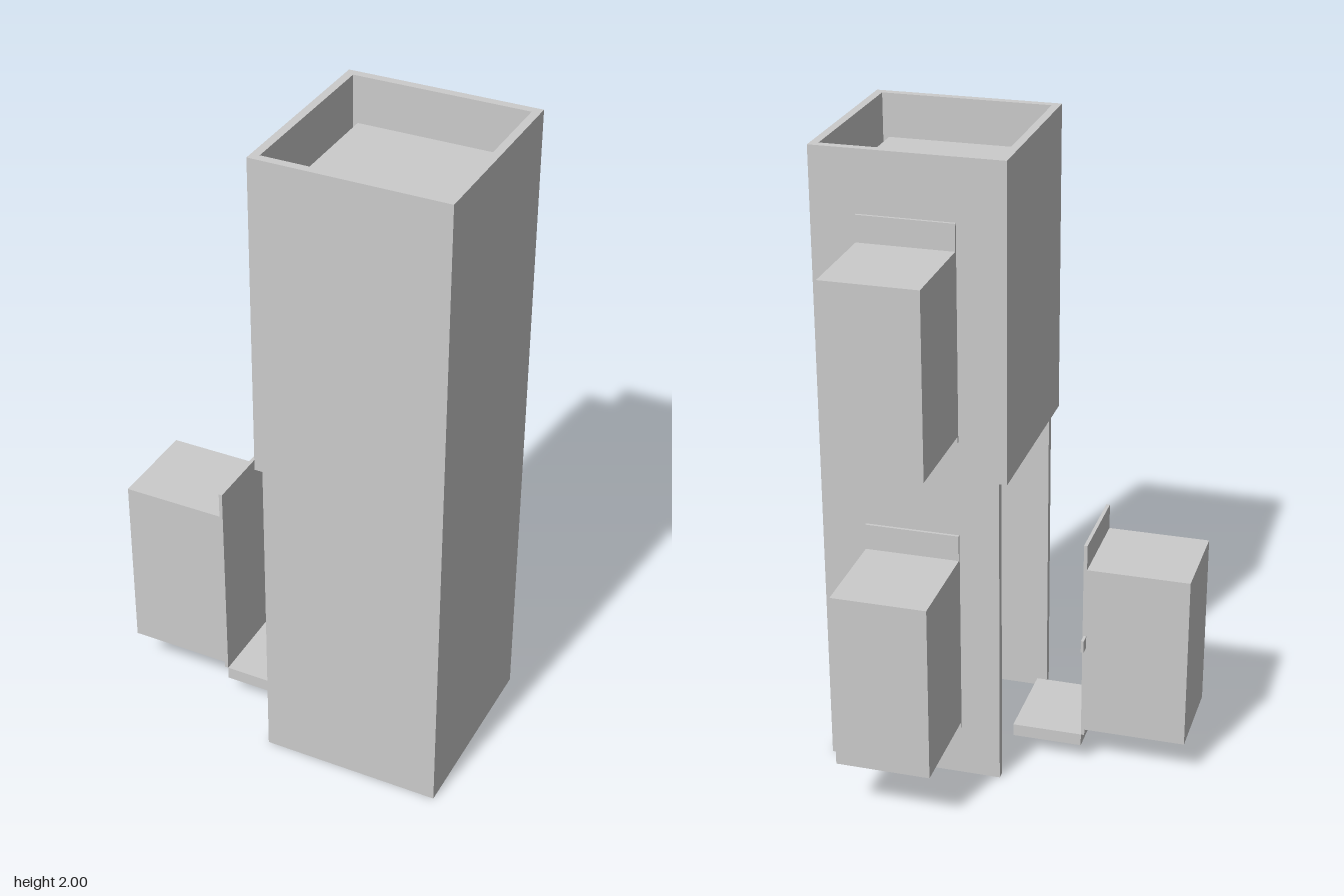
import * as THREE from 'three';

const material = new THREE.MeshStandardMaterial({ color: 0xcccccc, flatShading: true });

// Box given by its minimum and maximum on each axis
function block(name, [x0, x1], [y0, y1], [z0, z1]) {
  const mesh = new THREE.Mesh(new THREE.BoxGeometry(x1 - x0, y1 - y0, z1 - z0), material);
  mesh.position.set((x0 + x1) / 2, (y0 + y1) / 2, (z0 + z1) / 2);
  mesh.name = name;
  return mesh;
}

// Wall cabinet: faces -z, mounting plane at z = 0, base of its back plate at y = 0
function cabinet(name) {
  const group = new THREE.Group();
  group.name = name;
  group.add(
    block('cabinetBody', [-0.147, 0.147], [0.02, 0.588], [-0.33, -0.01]),
    block('backPlate', [-0.147, 0.147], [0, 0.67], [-0.011, 0]),
    block('switch', [0.185, 0.217], [0.34, 0.38], [-0.021, -0.012])
  );
  return group;
}

export function createModel() {
  const model = new THREE.Group();
  model.name = 'towerWithCabinets';

  // Hollow shaft, open below on its right side
  const tower = new THREE.Group();
  tower.name = 'tower';
  tower.add(
    block('frontWall', [-0.005, 0.55], [0, 2], [0.437, 0.463]),
    block('backWall', [-0.005, 0.55], [0, 2], [-0.137, -0.111]),
    block('leftWall', [0.525, 0.55], [0, 2], [-0.111, 0.437]),
    block('upperRightWall', [-0.03, -0.005], [1.02, 2], [-0.137, 0.463]),
    block('roofPanel', [0.025, 0.495], [1.845, 1.873], [-0.08, 0.405])
  );
  model.add(tower);

  // Two cabinets on the back wall
  [['lowerBackCabinet', 0.165], ['upperBackCabinet', 1.14]].forEach(([name, y]) => {
    const unit = cabinet(name);
    unit.position.set(0.265, y, -0.135);
    model.add(unit);
  });

  // Cabinet standing off the open side, with its step
  const side = cabinet('sideCabinet');
  side.rotation.y = Math.PI / 2;
  side.position.set(-0.226, 0.1, 0.167);
  model.add(side);
  model.add(block('step', [-0.226, -0.005], [0.06, 0.1], [0.02, 0.314]));

  return model;
}
